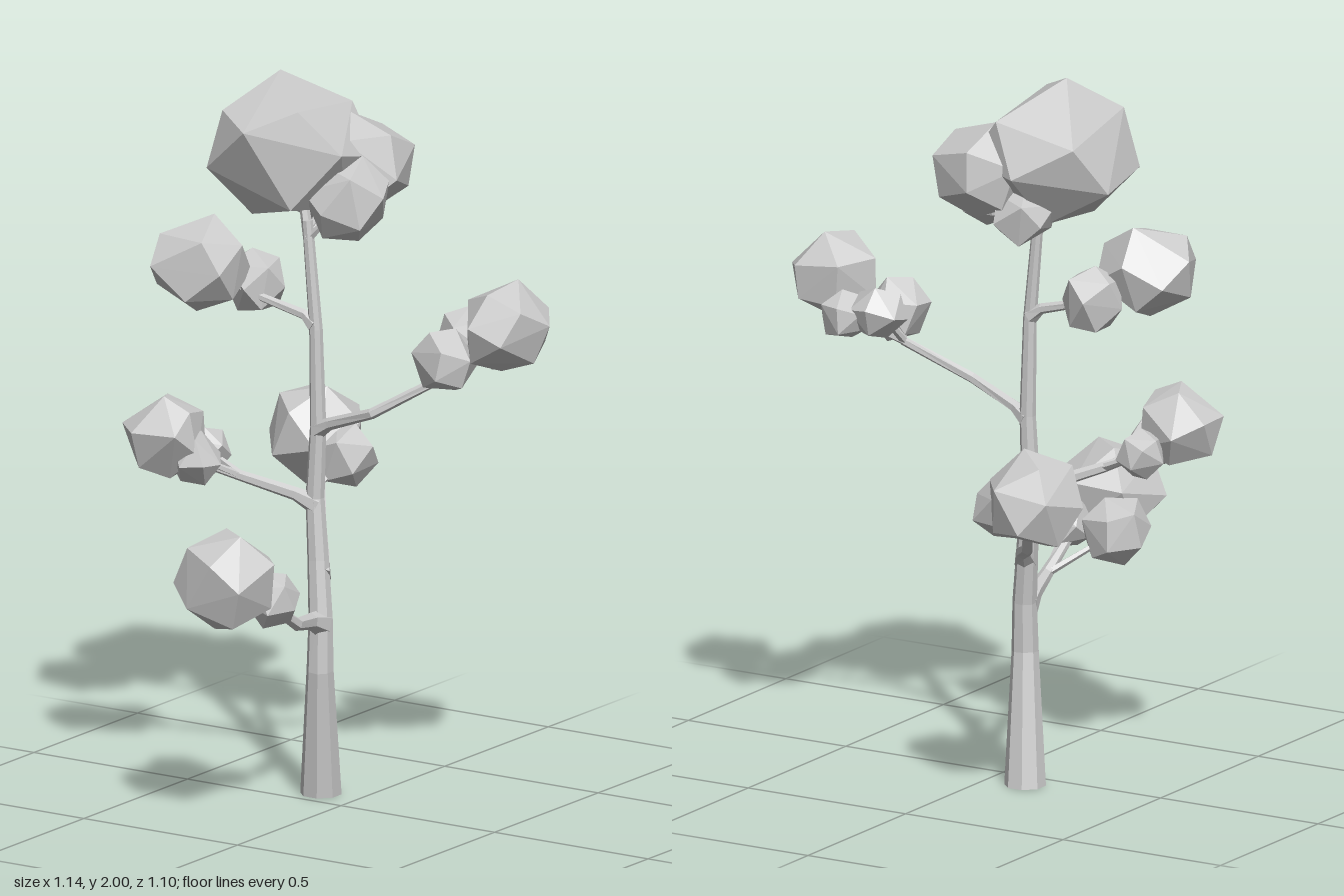
import * as THREE from 'three';
import { ConvexGeometry } from 'three/addons/geometries/ConvexGeometry.js';

const material = new THREE.MeshStandardMaterial({ color: 0xcccccc, flatShading: true });

function seeded(seed) {
  let s = seed * 7919 + 13;
  return () => (s = (s * 16807) % 2147483647) / 2147483647;
}

// Faceted leaf clump: convex hull of jittered, evenly spread points on a sphere
function clump(name, seed, x, y, z, radius, squash = 1) {
  const rnd = seeded(seed);
  for (let i = 0; i < 5; i++) rnd();
  const turn = new THREE.Euler(rnd() * 6, rnd() * 6, rnd() * 6);
  const n = radius > 0.1 ? 15 : 13;
  const points = [];
  for (let i = 0; i < n; i++) {
    const h = 1 - (2 * (i + 0.5)) / n;
    const a = i * 2.39996 + (rnd() - 0.5) * 0.35;
    const r = Math.sqrt(1 - h * h);
    const p = new THREE.Vector3(r * Math.cos(a), h, r * Math.sin(a));
    points.push(p.multiplyScalar(0.95 + rnd() * 0.1).applyEuler(turn));
  }
  // Bring every clump to its full width along each axis
  const box = new THREE.Box3().setFromPoints(points);
  const middle = box.getCenter(new THREE.Vector3());
  const half = box.getSize(new THREE.Vector3()).multiplyScalar(0.5);
  const size = new THREE.Vector3(radius, radius * squash, radius);
  points.forEach((p) => p.sub(middle).divide(half).multiply(size));
  const mesh = new THREE.Mesh(new ConvexGeometry(points), material);
  mesh.position.set(x, y, z);
  mesh.name = name;
  return mesh;
}

// Tapered limb: one ring of corners per path point, closed at both ends
function limb(name, path, radiusAt, sides) {
  const pts = path.map((p) => new THREE.Vector3(...p));
  const last = pts.length - 1;
  const pos = [], idx = [];
  const overall = pts[last].clone().sub(pts[0]).normalize();
  const ref = Math.abs(overall.y) > 0.8 ? new THREE.Vector3(0, 0, 1) : new THREE.Vector3(0, 1, 0);
  pts.forEach((p, i) => {
    const dir = pts[Math.min(i + 1, last)].clone().sub(pts[Math.max(i - 1, 0)]).normalize();
    if (p.y === 0) dir.set(0, 1, 0); // flat on the ground
    const u = new THREE.Vector3().crossVectors(ref, dir).normalize();
    const v = new THREE.Vector3().crossVectors(dir, u);
    const r = radiusAt(i, last);
    for (let j = 0; j < sides; j++) {
      const a = ((j + 0.5) / sides) * Math.PI * 2;
      const q = p.clone().addScaledVector(u, Math.cos(a) * r).addScaledVector(v, Math.sin(a) * r);
      pos.push(q.x, q.y, q.z);
    }
  });
  for (let i = 0; i < last; i++) {
    for (let j = 0; j < sides; j++) {
      const a = i * sides + j, b = i * sides + ((j + 1) % sides);
      idx.push(a, b, b + sides, a, b + sides, a + sides);
    }
  }
  for (let j = 1; j < sides - 1; j++) {
    idx.push(0, j + 1, j);
    idx.push(last * sides, last * sides + j, last * sides + j + 1);
  }
  const geo = new THREE.BufferGeometry();
  geo.setAttribute('position', new THREE.Float32BufferAttribute(pos, 3));
  geo.setIndex(idx);
  geo.computeVertexNormals();
  const mesh = new THREE.Mesh(geo, material);
  mesh.name = name;
  return mesh;
}

// Bough: a collared branch ending in the first clump, twigs to the other clumps.
// Clumps are [x, y, z, radius, squash]; fork is the path point where the twigs start.
function bough(name, seed, collar, path, fork, clumps) {
  const group = new THREE.Group();
  group.name = name;
  const branchRadius = (i, last) => (i ? THREE.MathUtils.lerp(collar * 0.75, 0.008, i / last) : collar);
  group.add(limb('branch', [...path, clumps[0].slice(0, 3)], branchRadius, 6));
  clumps.forEach((c, i) => {
    group.add(clump(i ? 'smallLeafClump' : 'leafClump', seed + i, ...c));
    if (i) group.add(limb('twig', [path[fork], c.slice(0, 3)], (k) => 0.011 - 0.004 * k, 5));
  });
  return group;
}

export function createModel() {
  const tree = new THREE.Group();
  tree.name = 'tree';

  // Trunk, flared at the foot and leaning gently
  const trunkPath = [
    [-0.118, 0, -0.078], [-0.089, 0.36, -0.031], [-0.09, 0.5, -0.035], [-0.108, 0.66, -0.05],
    [-0.125, 0.83, -0.06], [-0.115, 1.03, -0.06], [-0.122, 1.3, -0.06], [-0.15, 1.6, -0.06],
  ];
  tree.add(limb('trunk', trunkPath, (i, last) => (i ? 0.041 - 0.026 * (i / last) : 0.057), 8));

  tree.add(bough('frontBough', 1, 0.038,
    [[-0.09, 0.49, -0.03], [-0.08, 0.51, 0.03], [-0.05, 0.53, 0.14], [-0.05, 0.6, 0.25]], 2,
    [[-0.089, 0.708, 0.415, 0.134], [-0.18, 0.63, 0.28, 0.09], [-0.028, 0.635, 0.287, 0.072]]));

  tree.add(bough('backBough', 11, 0.034,
    [[-0.1, 0.62, -0.045], [-0.12, 0.655, -0.09], [-0.2, 0.7, -0.2], [-0.26, 0.8, -0.29]], 3,
    [[-0.352, 0.905, -0.412, 0.136], [-0.245, 0.865, -0.378, 0.087]]));

  tree.add(bough('leftMiddleBough', 21, 0.03,
    [[-0.12, 0.81, -0.06], [-0.17, 0.84, -0.03], [-0.29, 0.885, 0.04], [-0.37, 0.92, 0.1]], 2,
    [[-0.46, 1.005, 0.163, 0.112], [-0.38, 0.948, 0.14, 0.073], [-0.42, 0.942, 0.03, 0.066]]));

  tree.add(bough('rightBough', 31, 0.026,
    [[-0.115, 1.02, -0.06], [-0.07, 1.045, -0.05], [0.08, 1.1, -0.03], [0.24, 1.2, -0.12], [0.27, 1.27, -0.16]], 3,
    [[0.44, 1.368, -0.137, 0.126], [0.25, 1.305, -0.23, 0.073], [0.35, 1.29, -0.25, 0.07],
      [0.3, 1.273, -0.062, 0.088]]));

  tree.add(bough('leftUpperBough', 41, 0.024,
    [[-0.125, 1.31, -0.06], [-0.16, 1.335, -0.06], [-0.3, 1.37, -0.045]], 2,
    [[-0.44, 1.458, 0.043, 0.13], [-0.34, 1.402, -0.09, 0.086]]));

  tree.add(bough('crown', 51, 0.016,
    [[-0.145, 1.55, -0.06]], 0,
    [[-0.21, 1.805, -0.088, 0.218, 0.895], [-0.068, 1.745, -0.2, 0.135], [-0.033, 1.672, -0.08, 0.117],
      [-0.19, 1.64, -0.203, 0.085]]));

  return tree;
}
